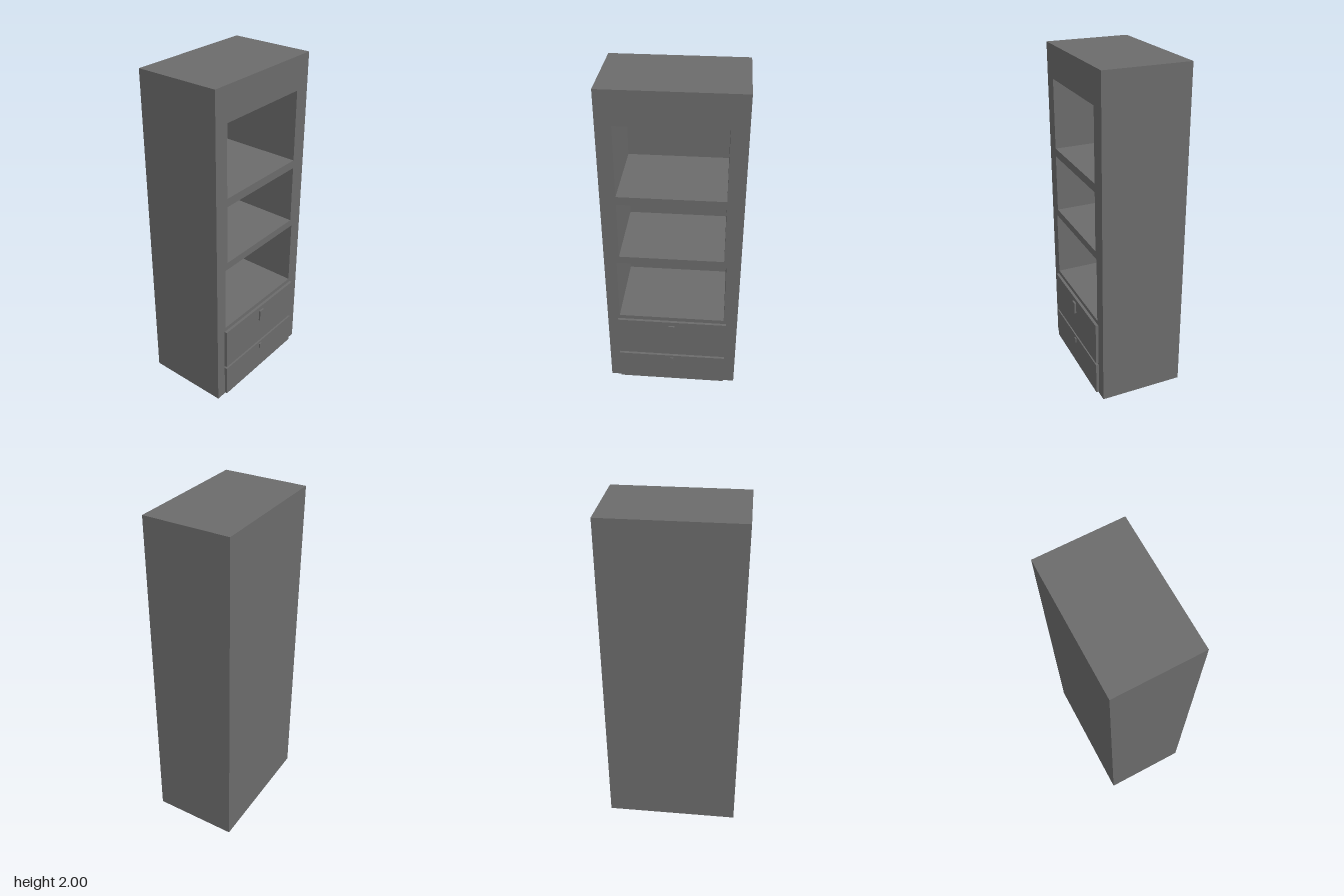
import * as THREE from 'three';

const FRONT = 0.242, BACK = -0.27, DRAWER = 0.259;
const material = new THREE.MeshStandardMaterial({ color: 0x6b6b6b });

// Solid box given by its limits
function block(x0, x1, y0, y1, z0, z1) {
  return new THREE.BoxGeometry(x1 - x0, y1 - y0, z1 - z0)
    .translate((x0 + x1) / 2, (y0 + y1) / 2, (z0 + z1) / 2);
}

// Box without its front (+z) face; inward = true turns it into a recess
function openBox(x0, x1, y0, y1, z0, z1, inward) {
  const g = block(x0, x1, y0, y1, z0, z1);
  const index = Array.from(g.index.array);
  index.splice(24, 6);
  g.clearGroups();
  g.setIndex(inward ? index.reverse() : index);
  if (inward) {
    const n = g.attributes.normal;
    for (let i = 0; i < n.count; i++) n.setXYZ(i, -n.getX(i), -n.getY(i), -n.getZ(i));
  }
  return g;
}

function rectangle(path, x0, x1, y0, y1) {
  path.moveTo(x0, y0).lineTo(x1, y0).lineTo(x1, y1).lineTo(x0, y1).closePath();
  return path;
}

export function createModel() {
  const model = new THREE.Group();
  model.name = 'cabinet';
  const add = (name, geometry) => {
    const mesh = new THREE.Mesh(geometry, material);
    mesh.name = name;
    model.add(mesh);
  };

  // Open compartments: x0, x1, y0, y1, back z
  const niches = {
    upperCompartment: [-0.31, 0.302, 1.375, 1.802, -0.26],
    middleCompartment: [-0.31, 0.302, 0.968, 1.325, -0.24],
    lowerCompartment: [-0.326, 0.317, 0.517, 0.923, -0.25],
  };

  // Carcass and face frame with the compartment openings
  add('carcass', openBox(-0.4, 0.4, 0, 2, BACK, FRONT, false));
  const face = rectangle(new THREE.Shape(), -0.4, 0.4, 0, 2);
  for (const [name, [x0, x1, y0, y1, z0]] of Object.entries(niches)) {
    face.holes.push(rectangle(new THREE.Path(), x0, x1, y0, y1));
    add(name, openBox(x0, x1, y0, y1, z0, FRONT, true));
  }
  add('faceFrame', new THREE.ShapeGeometry(face).translate(0, 0, FRONT));

  // Drawer fronts and their pulls
  add('upperDrawer', block(-0.337, 0.332, 0.226, 0.492, FRONT, DRAWER));
  add('lowerDrawer', block(-0.337, 0.332, 0.008, 0.21, FRONT, DRAWER));
  add('upperPull', block(-0.022, 0.016, 0.394, 0.466, DRAWER, 0.27));
  add('lowerPull', block(-0.013, 0.008, 0.165, 0.195, DRAWER, 0.267));

  return model;
}
